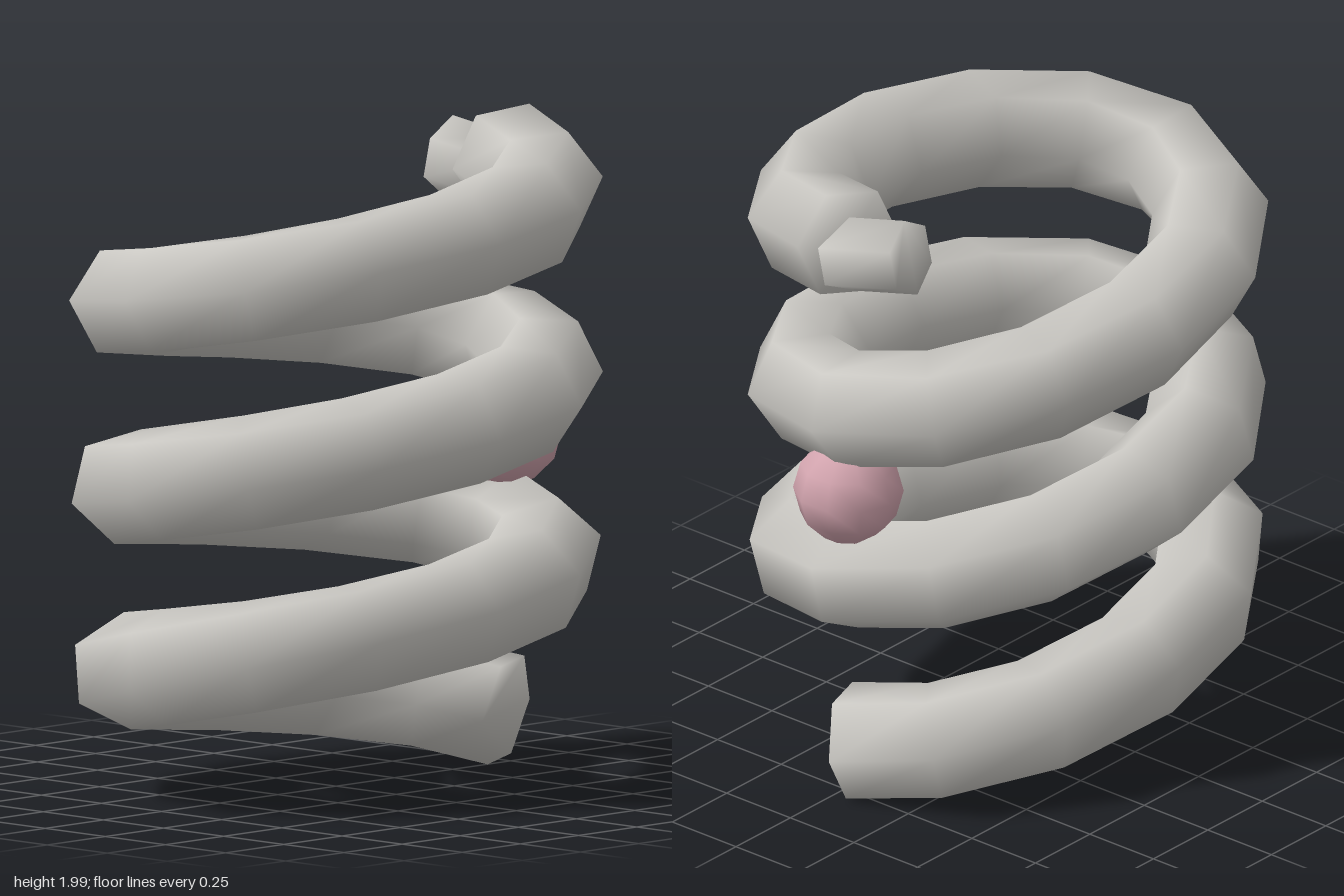
import * as THREE from 'three';

// Closed, smooth-shaded tube through a list of points, one ring per point.
// The ring is carried along the path without twisting, starting from startNormal.
function tube(points, radius, sides, startNormal) {
  const pos = [], index = [], last = points.length - 1;
  const normal = startNormal.clone();
  points.forEach((p, i) => {
    const t = points[Math.min(i + 1, last)].clone().sub(points[Math.max(i - 1, 0)]).normalize();
    normal.addScaledVector(t, -normal.dot(t)).normalize();
    const binormal = t.clone().cross(normal);
    for (let j = 0; j < sides; j++) {
      const a = (j / sides) * Math.PI * 2;
      const v = p.clone()
        .addScaledVector(normal, radius * Math.cos(a))
        .addScaledVector(binormal, radius * Math.sin(a));
      pos.push(v.x, v.y, v.z);
    }
  });
  for (let i = 0; i < last; i++) {
    for (let j = 0; j < sides; j++) {
      const a = i * sides + j, b = i * sides + ((j + 1) % sides);
      index.push(a, b, a + sides, b, b + sides, a + sides);
    }
  }
  // end caps
  const e = last * sides;
  for (let j = 1; j < sides - 1; j++) {
    index.push(0, j + 1, j, e, e + j, e + j + 1);
  }
  const g = new THREE.BufferGeometry();
  g.setAttribute('position', new THREE.Float32BufferAttribute(pos, 3));
  g.setIndex(index);
  g.computeVertexNormals();
  return g;
}

export function createModel() {
  const group = new THREE.Group();
  const grey = new THREE.MeshStandardMaterial({ name: 'warm grey', color: 0xc9c7c2 });
  const pink = new THREE.MeshStandardMaterial({ name: 'dusty pink', color: 0xd2a4ae });
  const add = (name, geometry, material) => {
    const mesh = new THREE.Mesh(geometry, material);
    mesh.name = name;
    group.add(mesh);
    return mesh;
  };

  // three oval turns, twelve segments each
  const turns = 3, steps = 12, path = [];
  for (let i = 0; i <= turns * steps; i++) {
    const a = (i / steps) * Math.PI * 2;
    path.push(new THREE.Vector3(0.73 * Math.cos(a), 0.155 + (0.556 * i) / steps, -0.51 * Math.sin(a)));
  }
  add('coil', tube(path, 0.176, 6, new THREE.Vector3(-1, 0, 0)), grey);

  // narrower stub at the upper end
  const stub = [new THREE.Vector3(0.724, 1.77, 0.05), new THREE.Vector3(0.68, 1.82, -0.2)];
  add('tip', tube(stub, 0.12, 6, new THREE.Vector3(0, 1, 0)), grey);

  // bead held between two turns
  const bead = add('bead', new THREE.SphereGeometry(0.166, 10, 6), pink);
  bead.position.set(0.733, 1, 0);
  bead.rotation.y = Math.PI / 2;

  return group;
}
